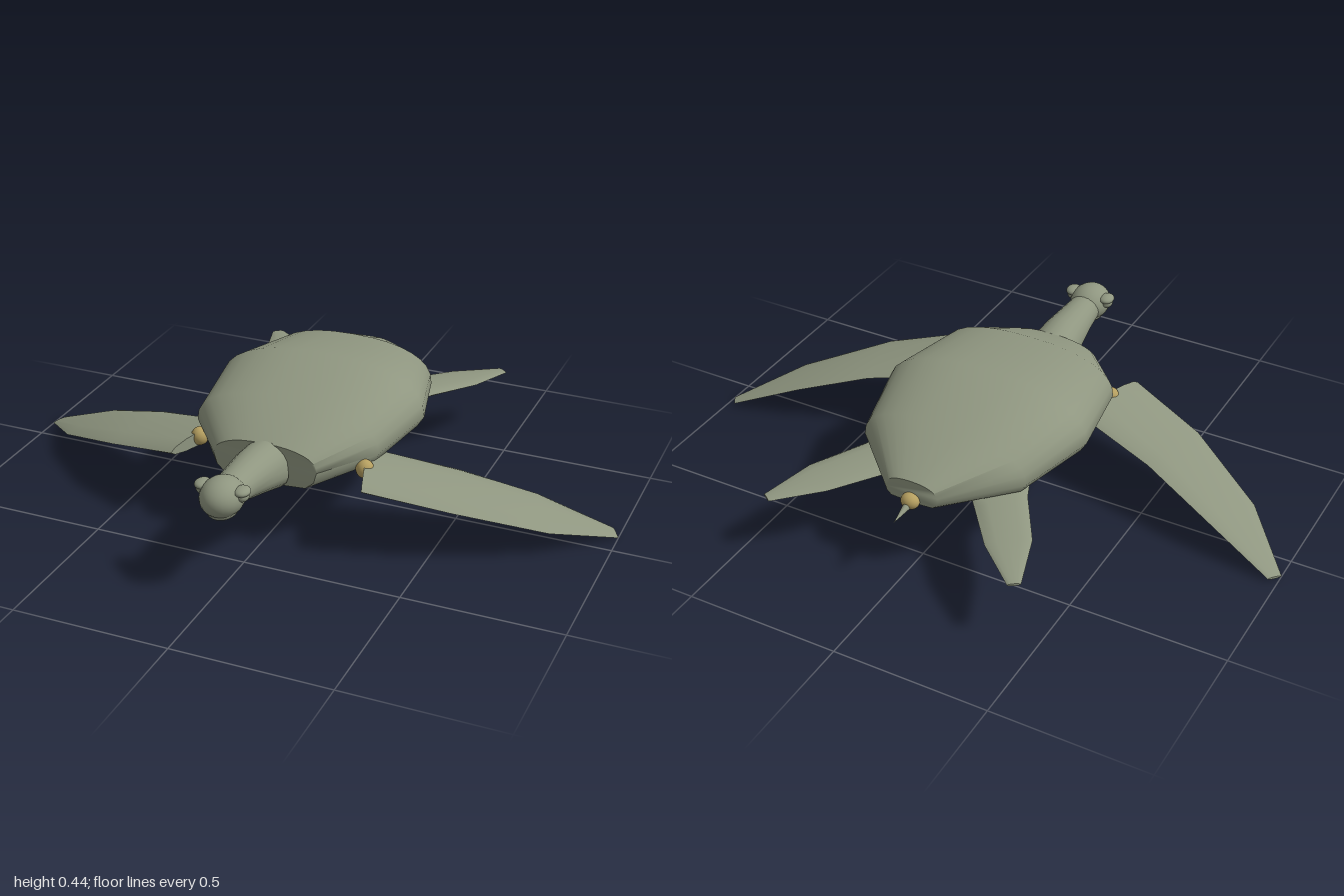
import * as THREE from 'three';
import { toCreasedNormals } from 'three/addons/utils/BufferGeometryUtils.js';

// Skin a list of equal-sized rings (arrays of [x, y, z]) and close both ends.
function loft(rings, side = 1, crease = 0.9) {
  const n = rings[0].length, pos = [], idx = [];
  for (const ring of rings) {
    const r = side < 0 ? [...ring].reverse() : ring;
    for (const [x, y, z] of r) pos.push(x * side, y, z);
  }
  for (let i = 0; i < rings.length - 1; i++) {
    for (let j = 0; j < n; j++) {
      const a = i * n + j, b = i * n + (j + 1) % n;
      idx.push(a, b, a + n, b, b + n, a + n);
    }
  }
  const last = (rings.length - 1) * n;
  for (let j = 1; j < n - 1; j++) {
    idx.push(0, j + 1, j, last, last + j, last + j + 1);
  }
  const g = new THREE.BufferGeometry();
  g.setAttribute('position', new THREE.Float32BufferAttribute(pos, 3));
  g.setIndex(idx);
  return toCreasedNormals(g, crease);
}

// Domed upper half with a flatter, tucked-in belly.
function shellRing([z, w, top, bottom, rim]) {
  const ring = [];
  for (let i = 0; i <= 16; i++) {
    const a = Math.PI * i / 16, c = Math.cos(a), s = Math.sin(a);
    ring.push([w * Math.sign(c) * Math.abs(c) ** 0.85, rim + (top - rim) * s ** 0.85, z]);
  }
  for (const [u, v] of [[-0.94, 0.55], [-0.78, 0.93], [-0.4, 1], [0.4, 1], [0.78, 0.93], [0.94, 0.55]]) {
    ring.push([w * u, rim + (bottom - rim) * v, z]);
  }
  return ring;
}

// Oval ring for the neck, wider toward its underside.
function neckRing([z, w, top, bottom, flare]) {
  return Array.from({ length: 20 }, (_, i) => {
    const a = Math.PI * 2 * i / 20, s = Math.sin(a);
    const wide = w + flare * Math.max(0, -s);
    return [wide * Math.cos(a), (top + bottom) / 2 + (top - bottom) / 2 * s, z - 0.01 * s];
  });
}

// Thin lens between the leading and trailing edge of a flipper.
function flipperRing([front, back, t]) {
  return Array.from({ length: 12 }, (_, i) => {
    const a = Math.PI * 2 * i / 12, k = (Math.sin(a) + 1) / 2;
    const p = front.map((f, d) => back[d] + (f - back[d]) * k);
    p[1] += Math.cos(a) * t;
    return p;
  });
}

export function createModel() {
  const model = new THREE.Group();
  model.name = 'seaTurtle';
  const skin = new THREE.MeshStandardMaterial({ color: 0x8f9680 });
  skin.name = 'grey green skin';
  const gold = new THREE.MeshStandardMaterial({ color: 0xb59f60 });
  gold.name = 'golden joint';

  const add = (name, geometry, material = skin) => {
    const mesh = new THREE.Mesh(geometry, material);
    mesh.name = name;
    model.add(mesh);
    return mesh;
  };
  const ball = (name, [x, y, z], [rx, ry, rz], material = skin) => {
    const mesh = add(name, new THREE.SphereGeometry(1, 24, 16), material);
    mesh.position.set(x, y, z);
    mesh.scale.set(rx, ry, rz);
    return mesh;
  };

  // Shell: z, half width, top, bottom, rim height
  add('shell', loft([
    [-0.555, 0.09, 0.315, 0.24, 0.27],
    [-0.365, 0.28, 0.402, 0.225, 0.275],
    [-0.1, 0.35, 0.445, 0.222, 0.285],
    [0.18, 0.305, 0.41, 0.216, 0.28],
    [0.343, 0.17, 0.332, 0.202, 0.265],
  ].map(shellRing)));

  // Neck: z, half width, top, bottom, flare
  add('neck', loft([
    [0.345, 0.078, 0.337, 0.187, 0.025],
    [0.43, 0.07, 0.347, 0.21, 0.01],
    [0.52, 0.06, 0.346, 0.234, 0],
    [0.6, 0.052, 0.345, 0.25, 0],
  ].map(neckRing)));

  // Head
  ball('head', [0, 0.302, 0.635], [0.066, 0.06, 0.077]);
  ball('jaw', [0, 0.262, 0.635], [0.046, 0.028, 0.056]);
  ball('jawJoint', [0, 0.243, 0.587], [0.028, 0.024, 0.028], gold);

  // Front flippers: leading edge, trailing edge, half thickness
  const frontSections = [
    [[0.315, 0.236, 0.348], [0.235, 0.24, 0.085], 0.024],
    [[0.57, 0.175, 0.262], [0.51, 0.186, 0.01], 0.016],
    [[0.83, 0.084, 0.11], [0.74, 0.112, -0.067], 0.01],
    [[1, 0.006, -0.08], [0.972, 0.014, -0.123], 0.004],
  ];
  // Rear flippers: outer edge, inner edge, half thickness
  const rearSections = [
    [[0.26, 0.235, -0.3], [0.13, 0.225, -0.43], 0.014],
    [[0.285, 0.232, -0.36], [0.17, 0.222, -0.478], 0.014],
    [[0.385, 0.218, -0.52], [0.27, 0.212, -0.6], 0.01],
    [[0.438, 0.2, -0.69], [0.405, 0.2, -0.713], 0.004],
  ];
  for (const side of [1, -1]) {
    const label = side > 0 ? 'left' : 'right';
    add(label + 'FrontFlipper', loft(frontSections.map(flipperRing), side));
    add(label + 'RearFlipper', loft(rearSections.map(flipperRing), side));
    ball(label + 'FrontJoint', [side * 0.277, 0.245, 0.222], [0.028, 0.03, 0.028], gold);
    ball(label + 'RearJoint', [side * 0.2, 0.222, -0.388], [0.028, 0.024, 0.028], gold);
    ball(label + 'Eye', [side * 0.063, 0.316, 0.633], [0.02, 0.018, 0.023]);
    ball(label + 'Eyelid', [side * 0.062, 0.33, 0.633], [0.025, 0.014, 0.03]);
  }

  // Tail
  ball('tailJoint', [0, 0.25, -0.563], [0.03, 0.026, 0.026], gold);
  const tail = add('tail', new THREE.ConeGeometry(0.018, 0.115, 12));
  tail.position.set(0, 0.24, -0.602);
  tail.rotation.x = -Math.PI / 2 - 0.14;

  return model;
}
